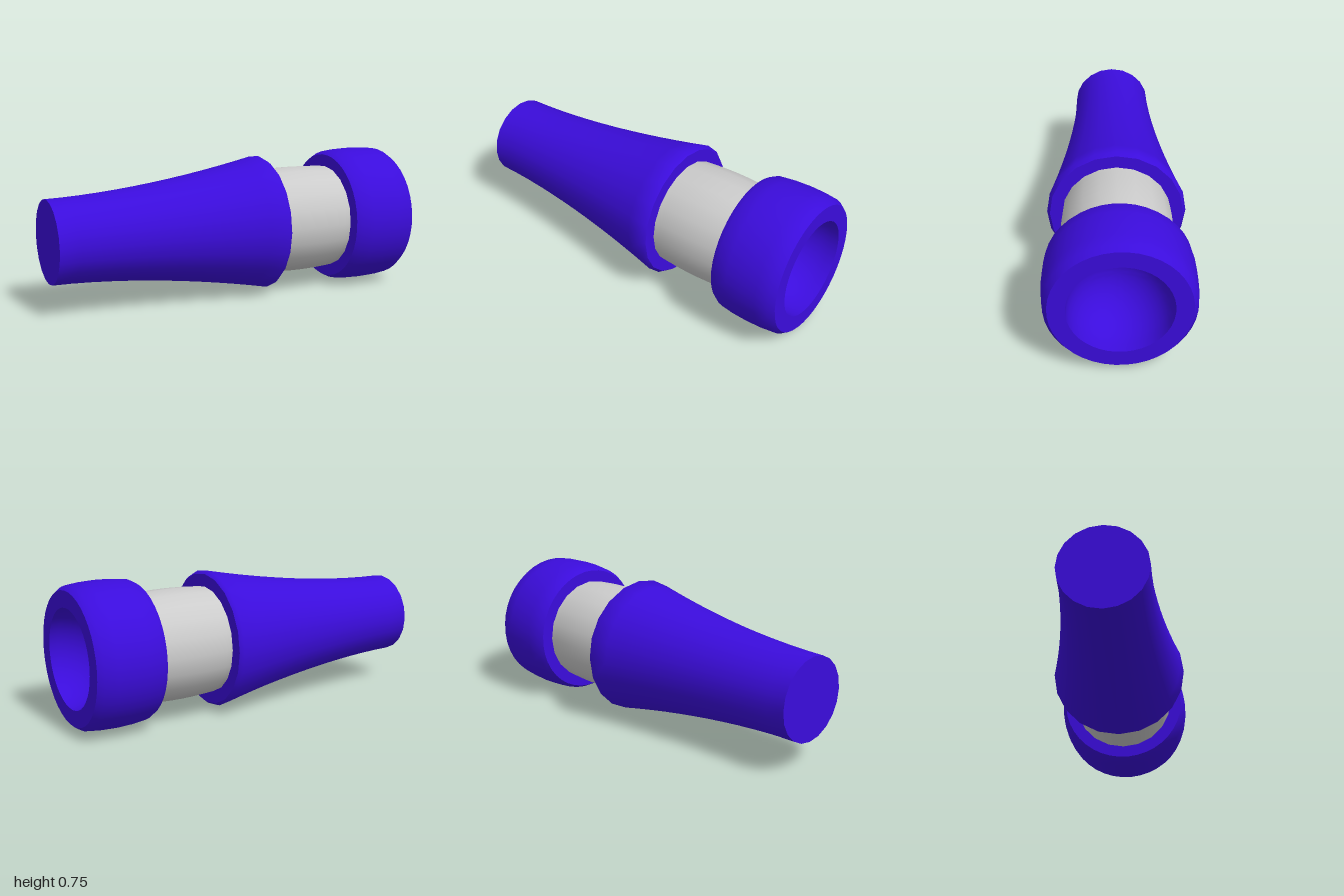
import * as THREE from 'three';
import { toCreasedNormals } from 'three/addons/utils/BufferGeometryUtils.js';

const AXIS_HEIGHT = 0.378;

// Turned part lying along x; profile is a list of [x, radius]
function turned(name, profile, material, sides, crease = 0.7, phase = 0) {
  const points = profile.map(([x, r]) => new THREE.Vector2(r, x));
  const lathe = new THREE.LatheGeometry(points, sides, phase);
  const geometry = toCreasedNormals(lathe, crease);
  geometry.rotateZ(-Math.PI / 2);
  const mesh = new THREE.Mesh(geometry, material);
  mesh.name = name;
  mesh.position.y = AXIS_HEIGHT;
  return mesh;
}

export function createModel() {
  const group = new THREE.Group();
  group.name = 'nozzle';
  const blue = new THREE.MeshStandardMaterial({ color: 0x3b0cdc });
  const grey = new THREE.MeshStandardMaterial({ color: 0xcccccc });

  // Flared handle: closed narrow end, widening curve, bevelled shoulder
  const handle = [[-1, 0]];
  for (let i = 0; i <= 12; i++) {
    const t = i / 12;
    handle.push([-1 + 1.2 * t, 0.22 + 0.148 * Math.pow(t, 1.75)]);
  }
  handle.push([0.22, 0.353], [0.22, 0]);
  group.add(turned('flaredHandle', handle, blue, 20, 0.9));

  // Slightly bulging neck
  const neck = [];
  for (let i = 0; i <= 8; i++) {
    const t = i / 8;
    neck.push([0.2 + 0.45 * t, 0.284 + 0.011 * Math.sin(Math.PI * t)]);
  }
  group.add(turned('neck', neck, grey, 20));

  // Rounded collar with a smooth concave mouth
  const collar = [
    [0.63, 0], [0.63, 0.35], [0.66, 0.367], [0.73, 0.375], [0.815, 0.378],
    [0.9, 0.375], [0.97, 0.367], [1, 0.346], [1, 0.259],
  ];
  for (let i = 1; i <= 10; i++) {
    const a = (i / 10) * Math.PI / 2;
    collar.push([1 - 0.28 * Math.sin(a), 0.259 * Math.cos(a)]);
  }
  group.add(turned('collar', collar, blue, 40, 0.9, Math.PI / 40));

  return group;
}
